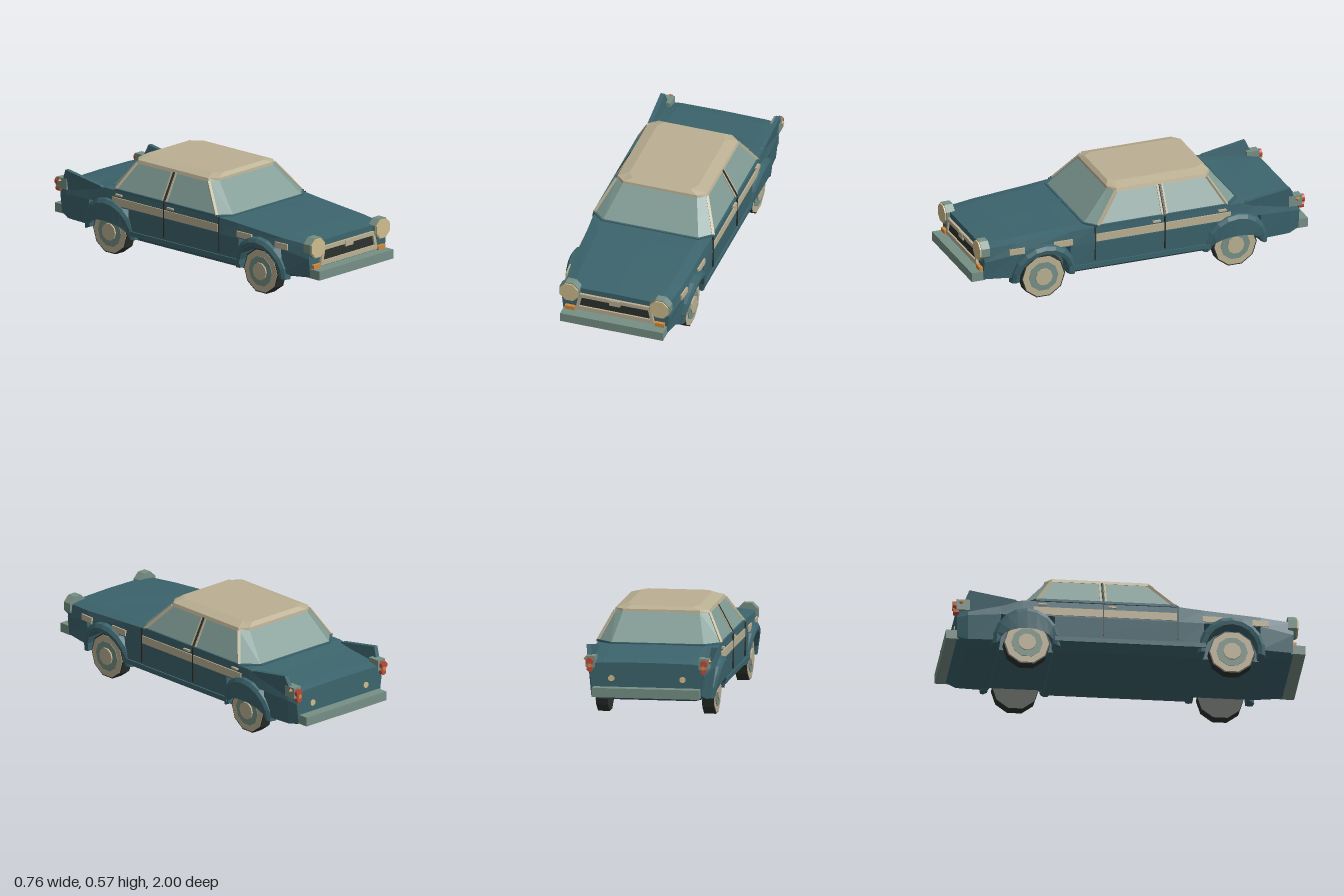
import * as THREE from 'three';

const mat = (name, color) => {
  const m = new THREE.MeshStandardMaterial({ color });
  m.name = name;
  m.flatShading = true;
  return m;
};

// Skin closed rings of [x, y, z]; rings run clockwise seen from the first ring's side.
function loft(rings) {
  const pos = [];
  const tri = (a, b, c) => pos.push(...a, ...b, ...c);
  const n = rings[0].length;
  for (let i = 0; i < rings.length - 1; i++) {
    for (let j = 0; j < n; j++) {
      const k = (j + 1) % n;
      const [a, d, b, c] = [rings[i][j], rings[i][k], rings[i + 1][j], rings[i + 1][k]];
      tri(a, d, b);
      tri(d, c, b);
    }
  }
  const mid = (r) => [0, 1, 2].map((q) => r.reduce((s, p) => s + p[q], 0) / n);
  const first = rings[0], last = rings[rings.length - 1];
  const c0 = mid(first), c1 = mid(last);
  for (let j = 0; j < n; j++) {
    const k = (j + 1) % n;
    tri(c0, first[k], first[j]);
    tri(c1, last[j], last[k]);
  }
  const g = new THREE.BufferGeometry();
  g.setAttribute('position', new THREE.Float32BufferAttribute(pos, 3));
  g.computeVertexNormals();
  return g;
}

// Horizontal ring with cut corners: x1/x2 inner and outer half width, z from front to back.
const cabinRing = (y, xf, xb, xo, zf, zfc, zbc, zb) => [
  [-xb, y, zb], [xb, y, zb], [xo, y, zbc], [xo, y, zfc],
  [xf, y, zf], [-xf, y, zf], [-xo, y, zfc], [-xo, y, zbc],
];

export function createModel() {
  const car = new THREE.Group();
  car.name = 'car';
  const teal = mat('teal paint', 0x3c646d);
  const cream = mat('cream trim', 0xbbb093);
  const lamp = mat('lamp glass', 0xd0bd8d);
  const sage = mat('sage metal', 0x768f85);
  const glass = mat('window glass', 0x7f9a93);
  const dark = mat('dark rubber', 0x2c322d);
  const orange = mat('orange lens', 0xcf8a3e);
  const red = mat('red lens', 0xbc4a3c);

  const add = (name, geo, material) => {
    const m = new THREE.Mesh(geo, material);
    m.name = name;
    car.add(m);
    return m;
  };
  const box = (name, material, x0, x1, y0, y1, z0, z1) => add(name,
    new THREE.BoxGeometry(x1 - x0, y1 - y0, z1 - z0).translate((x0 + x1) / 2, (y0 + y1) / 2, (z0 + z1) / 2), material);
  // Add the mirrored twin of a part built on the +x side
  const pair = (m) => {
    const g = new THREE.Group();
    g.name = m.name + 'Mirror';
    g.scale.x = -1;
    g.add(m.clone());
    car.add(g);
    return m;
  };
  const bar = (name, material, a, b, w, h = w) => {
    const p = new THREE.Vector3(...a), q = new THREE.Vector3(...b);
    const m = add(name, new THREE.BoxGeometry(w, h, p.distanceTo(q)), material);
    m.position.copy(p).lerp(q, 0.5);
    m.lookAt(q);
    return m;
  };
  const disc = (name, material, r, depth, x, y, z, sides = 8) => add(name,
    new THREE.CylinderGeometry(r, r, depth, sides).rotateY(Math.PI / sides).rotateX(Math.PI / 2).translate(x, y, z), material);

  // Body shell, with the lower side pulled inward at the wheel wells
  const section = (z, top, crease, shoulder, side, low, floor) => {
    const half = [crease, shoulder, side, low, floor];
    return [[0, top, z], ...half.map(([x, y]) => [x, y, z]), [0, floor[1], z],
      ...half.reverse().map(([x, y]) => [-x, y, z])];
  };
  const well = [[0.25, 0.28], [0.25, 0.115]];
  const sill = [[0.342, 0.15], [0.29, 0.105]];
  const frontWing = [0.367, [0.26, 0.363], [0.325, 0.35], [0.338, 0.29]];
  const rearWing = [0.37, [0.255, 0.367], [0.335, 0.36], [0.345, 0.29]];
  const cowl = [0.384, [0.275, 0.382], [0.336, 0.372], [0.346, 0.29]];
  const deck = [0.386, [0.265, 0.384], [0.343, 0.38], [0.349, 0.29]];
  add('body', loft([
    section(0.93, 0.35, [0.245, 0.346], [0.3, 0.338], [0.312, 0.26], [0.3, 0.155], [0.25, 0.14]),
    section(0.745, ...frontWing, [0.332, 0.15], [0.27, 0.122]),
    section(0.744, ...frontWing, ...well),
    section(0.431, ...cowl, ...well),
    section(0.43, ...cowl, ...sill),
    section(0.29, 0.388, [0.28, 0.387], [0.346, 0.382], [0.35, 0.29], ...sill),
    section(-0.399, ...deck, ...sill),
    section(-0.4, ...deck, ...well),
    section(-0.58, ...deck, ...well),
    section(-0.7, ...rearWing, ...well),
    section(-0.701, ...rearWing, [0.335, 0.14], [0.27, 0.12]),
    section(-0.88, 0.352, [0.25, 0.35], [0.325, 0.342], [0.335, 0.28], [0.322, 0.14], [0.26, 0.122]),
    section(-0.94, 0.34, [0.25, 0.337], [0.305, 0.33], [0.32, 0.27], [0.305, 0.16], [0.25, 0.14]),
  ]), teal);

  // Wheel arches: the rear lip hangs lower over the wheel
  for (const [name, cz, lip] of [['frontArch', 0.585, 0.145], ['rearArch', -0.555, 0.065]]) {
    const rings = [];
    for (let i = 0; i <= 10; i++) {
      const t = -0.1 + (Math.PI + 0.2) * i / 10;
      const s = Math.sin(t), c = Math.cos(t), w = 0.344 + 0.034 * Math.max(0, s);
      rings.push([[0.3, 0.195, 0.197], [w - 0.012, 0.188, 0.19], [w, 0.17, 0.168], [w - 0.004, 0.148, lip], [0.245, 0.15, 0.15]]
        .map(([x, rz, ry]) => [x, 0.135 + s * ry, cz + c * rz]));
    }
    pair(add(name, loft(rings), teal));
  }

  // Wheels: tyre, whitewall, wheel disc and hub cap
  for (const z of [0.587, -0.553]) {
    for (const [name, material, r, x0, x1] of [
      ['tyre', dark, 0.13, 0.264, 0.33], ['whitewall', cream, 0.123, 0.32, 0.333],
      ['wheelDisc', sage, 0.087, 0.32, 0.337], ['hubCap', cream, 0.05, 0.32, 0.346]]) {
      pair(add(name, new THREE.CylinderGeometry(r, r, x1 - x0, 10).rotateZ(Math.PI / 2)
        .translate((x0 + x1) / 2, 0.13, z), material));
    }
  }

  // Cabin glass and roof
  add('cabinGlass', loft([
    cabinRing(0.545, 0.215, 0.215, 0.262, 0.165, 0.13, -0.41, -0.445),
    cabinRing(0.383, 0.28, 0.26, 0.347, 0.33, 0.27, -0.5, -0.585),
  ]), glass);
  add('roof', loft([
    cabinRing(0.575, 0.17, 0.17, 0.2, 0.145, 0.1, -0.37, -0.42),
    cabinRing(0.557, 0.215, 0.215, 0.262, 0.165, 0.125, -0.405, -0.445),
    cabinRing(0.538, 0.218, 0.218, 0.268, 0.168, 0.13, -0.41, -0.448),
  ]), cream);

  // Pillars and window surrounds
  pair(bar('frontPillar', cream, [0.347, 0.385, 0.268], [0.264, 0.54, 0.13], 0.015));
  pair(bar('rearPillar', cream, [0.345, 0.385, -0.5], [0.264, 0.54, -0.41], 0.015));
  for (const z of [-0.115, -0.143]) pair(bar('doorPillar', cream, [0.347, 0.385, z], [0.264, 0.54, z], 0.01));
  pair(bar('doorPillarGap', dark, [0.346, 0.385, -0.129], [0.263, 0.54, -0.129], 0.01, 0.018));
  pair(bar('beltMoulding', teal, [0.346, 0.386, 0.275], [0.346, 0.386, -0.505], 0.014));
  pair(bar('windscreenCornerSill', teal, [0.347, 0.386, 0.27], [0.28, 0.386, 0.33], 0.012));
  pair(bar('rearWindowCornerSill', teal, [0.347, 0.386, -0.5], [0.26, 0.386, -0.585], 0.012));
  bar('windscreenSill', teal, [-0.283, 0.386, 0.33], [0.283, 0.386, 0.33], 0.012);
  bar('rearWindowSill', teal, [-0.263, 0.386, -0.586], [0.263, 0.386, -0.586], 0.012);

  // Side stripes, door seams, handles and sill strip
  pair(box('doorStripe', cream, 0.345, 0.353, 0.297, 0.342, -0.52, 0.28));
  pair(bar('wingStripeFront', cream, [0.335, 0.308, 0.79], [0.34, 0.308, 0.7], 0.009, 0.034));
  pair(bar('wingStripeRear', cream, [0.345, 0.315, 0.53], [0.347, 0.315, 0.42], 0.009, 0.034));
  for (const z of [0.285, -0.129]) pair(box('doorSeam', dark, 0.344, 0.3535, 0.185, 0.385, z - 0.003, z + 0.003));
  for (const z of [-0.08, -0.47]) pair(box('doorHandle', cream, 0.343, 0.358, 0.354, 0.364, z - 0.023, z + 0.023));
  pair(box('sillStrip', teal, 0.335, 0.352, 0.142, 0.168, -0.4, 0.44));

  // Bumpers
  box('frontBumper', sage, -0.3, 0.3, 0.15, 0.202, 0.92, 1);
  box('rearBumper', sage, -0.3, 0.3, 0.15, 0.202, -1, -0.925);

  // Grille with surround and plain centre plate
  box('grille', dark, -0.21, 0.21, 0.225, 0.3, 0.928, 0.935);
  box('grilleTop', cream, -0.212, 0.212, 0.294, 0.316, 0.925, 0.945);
  box('grilleBottom', cream, -0.215, 0.215, 0.21, 0.236, 0.925, 0.945);
  pair(bar('grilleSide', cream, [0.222, 0.21, 0.936], [0.2, 0.31, 0.936], 0.018));
  box('grillePlate', cream, -0.032, 0.032, 0.28, 0.313, 0.94, 0.949);

  // Front lamps
  pair(disc('headlampBezel', sage, 0.063, 0.05, 0.263, 0.322, 0.925));
  pair(disc('headlampGlass', lamp, 0.057, 0.012, 0.263, 0.322, 0.952));
  pair(box('indicator', orange, 0.233, 0.29, 0.2, 0.225, 0.92, 0.95));

  // Tail fins with lamp housings
  const fin = new THREE.Shape([[-0.58, 0.36], [-0.62, 0.383], [-0.875, 0.425], [-0.9, 0.365], [-0.9, 0.3], [-0.6, 0.3]]
    .map(([z, y]) => new THREE.Vector2(-z, y)));
  const finGeo = new THREE.ExtrudeGeometry(fin, { depth: 0.025, bevelEnabled: false }).rotateY(Math.PI / 2);
  const p = finGeo.attributes.position;
  for (let i = 0; i < p.count; i++) p.setX(i, p.getX(i) + 0.315 + (p.getY(i) - 0.36) * 0.15);
  finGeo.computeVertexNormals();
  pair(add('tailFin', finGeo, teal));
  pair(box('tailLampHousing', sage, 0.29, 0.343, 0.308, 0.37, -0.945, -0.87));
  pair(disc('tailLamp', red, 0.022, 0.03, 0.32, 0.342, -0.95));
  pair(disc('lowerTailLamp', red, 0.018, 0.03, 0.318, 0.302, -0.947));
  pair(disc('rearIndicator', orange, 0.012, 0.012, 0.318, 0.322, -0.962));
  pair(add('sideMarker', new THREE.OctahedronGeometry(0.014).translate(0.345, 0.352, -0.92), orange));
  pair(disc('reversingLamp', lamp, 0.018, 0.01, 0.2, 0.25, -0.94));
  return car;
}
